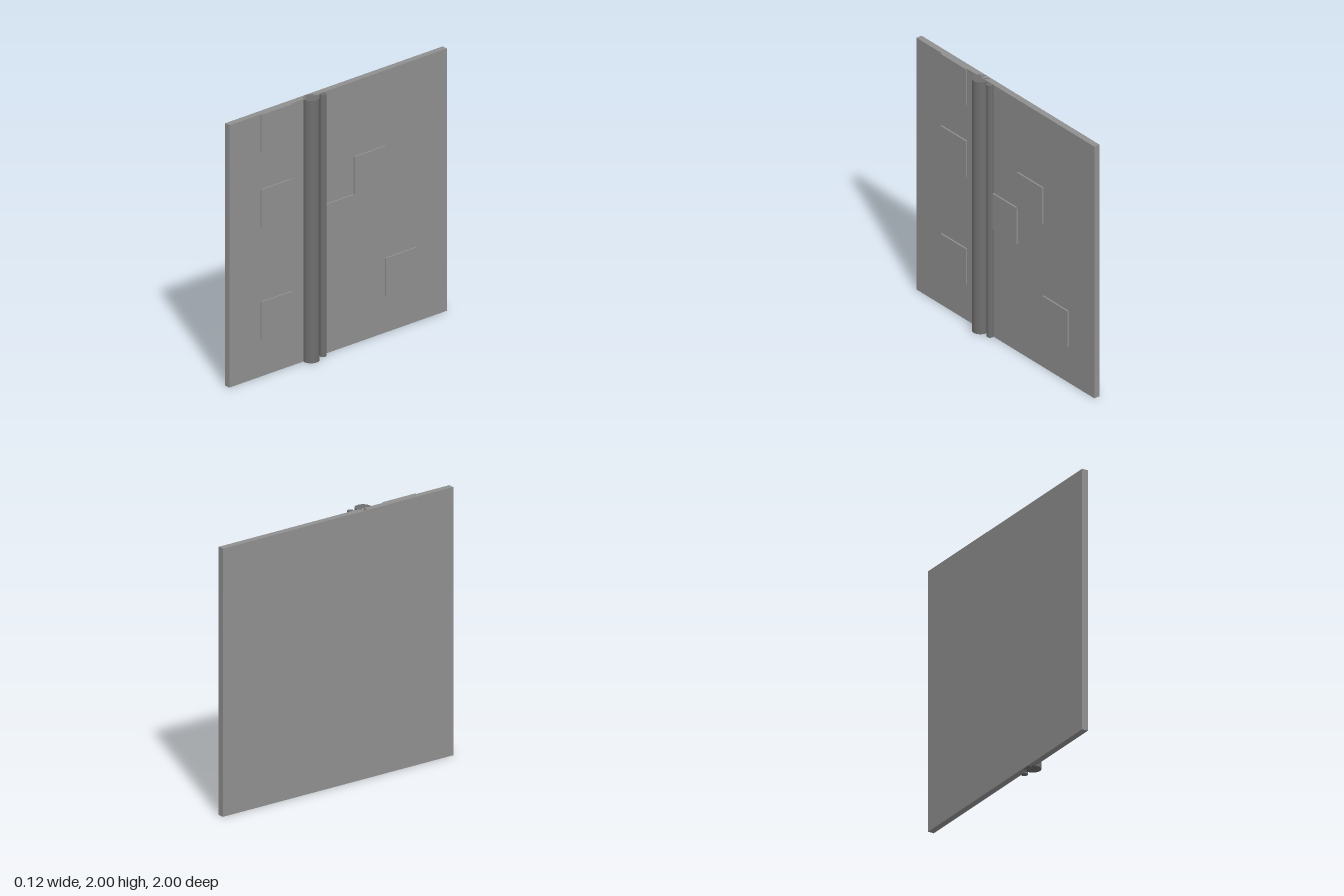
import * as THREE from 'three';

export function createModel() {
  const group = new THREE.Group();
  const panelGrey = new THREE.MeshStandardMaterial({ color: 0x909090 });
  const pipeGrey = new THREE.MeshStandardMaterial({ color: 0x6e6e6e });
  const back = -0.061, face = -0.014, tileFace = -0.002, cell = 2 / 7;

  const add = (name, geometry, material, x, y, z) => {
    const mesh = new THREE.Mesh(geometry, material);
    mesh.name = name;
    mesh.position.set(x, y, z);
    group.add(mesh);
  };

  // Upright wall panel
  add('panel', new THREE.BoxGeometry(face - back, 2, 2), panelGrey, (face + back) / 2, 1, 0);

  // Thin raised tiles on a seven by seven grid: [column from the back, row from the bottom]
  const tiles = [[5, 1], [5, 4], [5, 6], [3, 3], [2, 4], [1, 1]];
  const sunk = 0.01;
  for (const [column, row] of tiles) {
    add('raisedTile', new THREE.BoxGeometry(tileFace - face + sunk, cell, cell), panelGrey,
      (tileFace + face - sunk) / 2, (row + 0.5) * cell, (column + 0.5) * cell - 1);
  }

  // Full-height pipes, partly set into the panel
  add('largePipe', new THREE.CylinderGeometry(0.06, 0.06, 2, 32), pipeGrey, 0, 1, 0.262);
  add('smallPipe', new THREE.CylinderGeometry(0.024, 0.024, 2, 32), pipeGrey, 0.001, 1, 0.153);

  return group;
}
